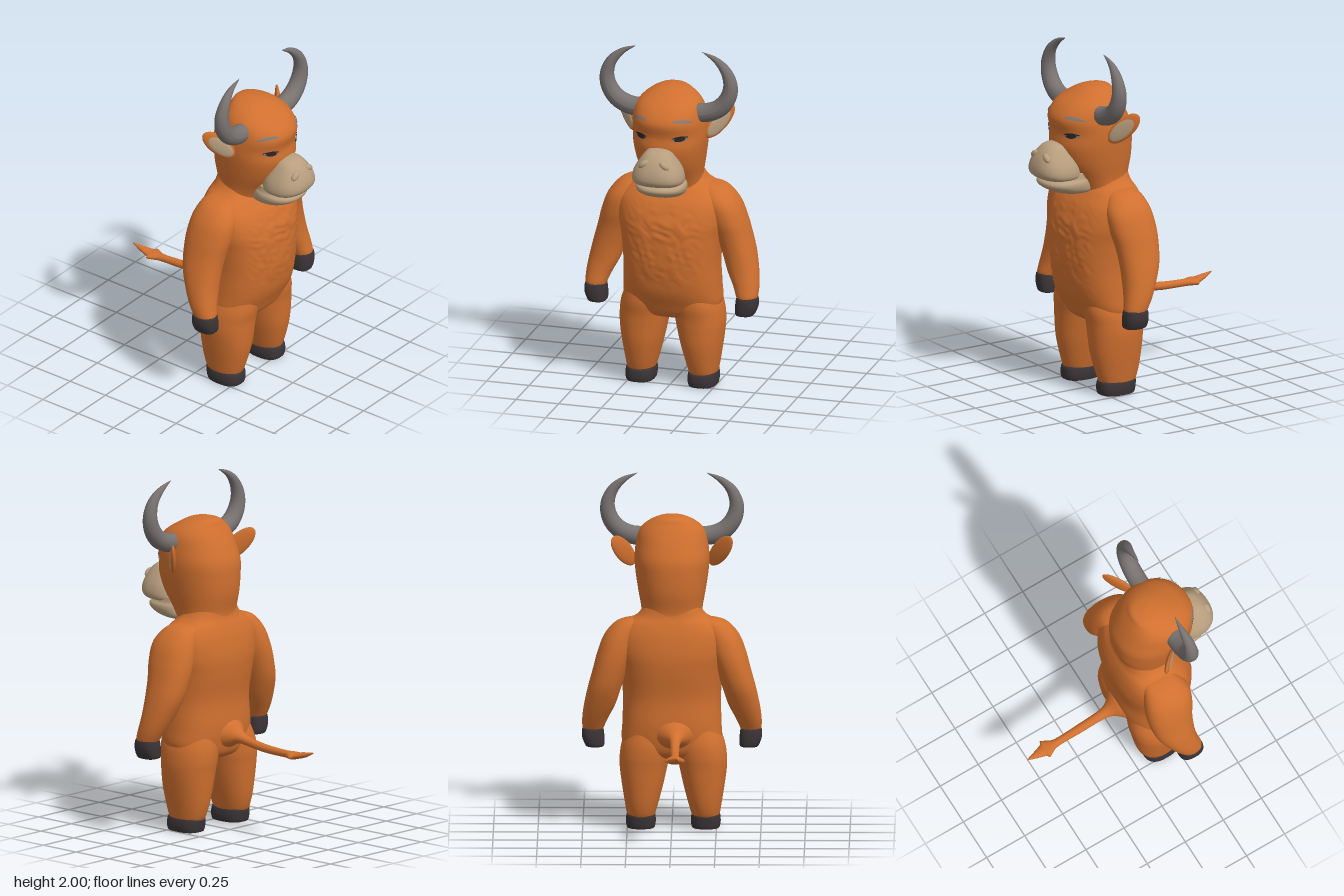
import * as THREE from 'three';

const mat = (name, color, side = THREE.FrontSide) => {
  const m = new THREE.MeshStandardMaterial({ color, side });
  m.name = name;
  return m;
};

// Smoothly resample key rows [y, centreX, halfWidth, zBack, zFront]
function resample(keys, steps) {
  const rows = [];
  const key = i => keys[Math.max(0, Math.min(keys.length - 1, i))];
  for (let i = 0; i < keys.length - 1; i++) {
    const [a, b, c, d] = [key(i - 1), key(i), key(i + 1), key(i + 2)];
    for (let s = 0; s < steps; s++) {
      const t = s / steps;
      rows.push(b.map((v, k) => v + 0.5 * t * (c[k] - a[k] +
        t * (2 * a[k] - 5 * v + 4 * c[k] - d[k] + t * (3 * (v - c[k]) + d[k] - a[k])))));
    }
  }
  rows.push(key(keys.length));
  return rows;
}

// Skin over rounded cross-sections, listed from top to bottom, closed at both ends
function loft(keys, { n = 2.2, segs = 40, steps = 5, side = 1, bump } = {}) {
  const rows = resample(keys, steps), pos = [], idx = [];
  const pw = v => Math.sign(v) * Math.abs(v) ** (2 / n);
  for (const [y, cx, a, zb, zf] of rows) {
    for (let j = 0; j < segs; j++) {
      const th = j / segs * Math.PI * 2;
      const x = side * cx + a * pw(Math.cos(th));
      const z = (zb + zf) / 2 + (zf - zb) / 2 * pw(Math.sin(th));
      pos.push(x, y, z + (bump ? bump(x, y, Math.sin(th)) : 0));
    }
  }
  for (let i = 0; i < rows.length - 1; i++) {
    for (let j = 0; j < segs; j++) {
      const p = i * segs + j, q = i * segs + (j + 1) % segs;
      idx.push(p, q, p + segs, q, q + segs, p + segs);
    }
  }
  const last = (rows.length - 1) * segs, top = pos.length / 3;
  for (const r of [rows[0], rows[rows.length - 1]]) pos.push(side * r[1], r[0], (r[3] + r[4]) / 2);
  for (let j = 0; j < segs; j++) {
    const k = (j + 1) % segs;
    idx.push(top, k, j, top + 1, last + j, last + k);
  }
  const g = new THREE.BufferGeometry();
  g.setAttribute('position', new THREE.Float32BufferAttribute(pos, 3));
  g.setIndex(idx);
  g.computeVertexNormals();
  return g;
}

const HEAD = [
  [1.777, 0, 0.004, 0.19, 0.21], [1.765, 0, 0.075, 0.12, 0.28], [1.73, 0, 0.14, 0.095, 0.35],
  [1.68, 0, 0.185, 0.065, 0.425], [1.61, 0, 0.203, 0.03, 0.472], [1.53, 0, 0.21, 0, 0.46],
  [1.45, 0, 0.205, -0.005, 0.465], [1.35, 0, 0.19, 0, 0.43], [1.25, 0, 0.172, 0.02, 0.36],
  [1.18, 0, 0.17, 0.02, 0.32], [1.1, 0, 0.17, 0.03, 0.3]];
const HEAD_N = 2.2;
const headRows = resample(HEAD, 8);

// Depth of the face at a given x, y
function faceZ(x, y) {
  const i = Math.max(1, headRows.findIndex(r => r[0] <= y));
  const [p, q] = [headRows[i - 1], headRows[i]];
  const r = p.map((v, k) => v + (q[k] - v) * (p[0] - y) / (p[0] - q[0]));
  const f = Math.max(0, 1 - Math.abs(x / r[2]) ** HEAD_N) ** (1 / HEAD_N);
  return (r[3] + r[4]) / 2 + (r[4] - r[3]) / 2 * f;
}

// Thin almond-shaped plate lying on the face, from (x0, y0) to (x1, y1)
function facePatch(x0, y0, x1, y1, half, arch, lift) {
  const g = new THREE.PlaneGeometry(1, 1, 14, 4), p = g.attributes.position;
  for (let i = 0; i < p.count; i++) {
    const u = p.getX(i) + 0.5, w = Math.sin(Math.PI * u);
    const x = x0 + (x1 - x0) * u;
    const y = y0 + (y1 - y0) * u + arch * w + p.getY(i) * 2 * half * Math.sqrt(Math.max(w, 0));
    p.setXYZ(i, x, y, faceZ(x, y) + lift);
  }
  g.computeVertexNormals();
  return g;
}

// Tapered tube that sweeps outward and up to a point
function hornGeometry(side) {
  const pts = [[0.16, 1.64], [0.23, 1.648], [0.3, 1.682], [0.348, 1.745], [0.362, 1.82], [0.335, 1.9],
    [0.275, 1.96], [0.195, 2]].map(([x, y], i) => new THREE.Vector3(side * x, y, i < 6 ? 0.275 : 0.27));
  const curve = new THREE.CatmullRomCurve3(pts), N = 40, R = 20;
  const g = new THREE.TubeGeometry(curve, N, 1, R), p = g.attributes.position, v = new THREE.Vector3();
  for (let i = 0; i <= N; i++) {
    const t = i / N, c = curve.getPointAt(t);
    const r = 0.053 * (1 - t ** 2.2) + 0.001;
    for (let j = 0; j <= R; j++) {
      const k = i * (R + 1) + j;
      v.fromBufferAttribute(p, k).sub(c).multiplyScalar(r).add(c);
      p.setXYZ(k, v.x, v.y, v.z);
    }
  }
  g.computeVertexNormals();
  return g;
}

export function createModel() {
  const model = new THREE.Group();
  const fur = mat('orange fur', 0xd0702f);
  const cream = mat('cream skin', 0xb89e7e);
  const horn = mat('grey horn', 0x77716f);
  const hoof = mat('dark hoof', 0x3b3436);
  const brow = mat('grey brow', 0x7d7c7d, THREE.DoubleSide);
  const dark = mat('dark eye', 0x2c2523, THREE.DoubleSide);
  const add = (name, geometry, material, parent = model) => {
    const m = new THREE.Mesh(geometry, material);
    m.name = name;
    parent.add(m);
    return m;
  };

  // Torso with shaggy tufts on the chest
  const tufts = (x, y, front) => {
    if (front < 0.2) return 0;
    const area = Math.exp(-(((y - 0.87) / 0.22) ** 4) - (x / 0.2) ** 4);
    return 0.007 * area * Math.sin(47 * x + 5 * Math.sin(23 * y)) * Math.sin(52 * y + 4 * Math.sin(31 * x));
  };
  add('torso', loft([
    [1.28, 0, 0.15, 0.03, 0.28], [1.22, 0, 0.19, 0.02, 0.285], [1.17, 0, 0.265, 0, 0.32],
    [1.1, 0, 0.31, -0.02, 0.37], [1, 0, 0.31, -0.033, 0.408], [0.9, 0, 0.29, -0.027, 0.42],
    [0.75, 0, 0.275, -0.008, 0.418], [0.6, 0, 0.278, -0.012, 0.395], [0.5, 0, 0.28, 0, 0.355],
    [0.44, 0, 0.24, 0.02, 0.325], [0.41, 0, 0.15, 0.06, 0.28], [0.4, 0, 0.03, 0.13, 0.2]],
  { n: 2.4, segs: 96, steps: 8, bump: tufts }), fur);

  // Head, upper muzzle and lower jaw
  const head = new THREE.Group();
  head.name = 'head';
  model.add(head);
  add('skull', loft(HEAD, { n: HEAD_N, segs: 56, steps: 6 }), fur, head);
  add('muzzle', loft([
    [1.475, 0, 0.02, 0.44, 0.48], [1.462, 0, 0.065, 0.41, 0.53], [1.42, 0, 0.1, 0.38, 0.572],
    [1.36, 0, 0.135, 0.35, 0.6], [1.31, 0, 0.147, 0.34, 0.604], [1.28, 0, 0.138, 0.34, 0.58],
    [1.268, 0, 0.11, 0.36, 0.54]], { n: 2.4 }), cream, head);
  add('jaw', loft([
    [1.3, 0, 0.12, 0.3, 0.46], [1.268, 0, 0.128, 0.28, 0.525], [1.25, 0, 0.14, 0.27, 0.555],
    [1.225, 0, 0.14, 0.26, 0.55], [1.195, 0, 0.125, 0.25, 0.5], [1.175, 0, 0.09, 0.25, 0.43],
    [1.17, 0, 0.03, 0.3, 0.36]], { n: 2.3 }), cream, head);

  for (const s of [1, -1]) {
    const side = s > 0 ? 'left' : 'right';

    // Raised nostril wing
    const wing = add(side + 'Nostril', new THREE.SphereGeometry(1, 20, 14), cream, head);
    wing.scale.set(0.034, 0.02, 0.02);
    wing.position.set(s * 0.06, 1.405, 0.562);
    wing.rotation.z = -s * 0.6;

    // Eye and eyebrow
    add(side + 'EyeWhite', facePatch(s * 0.075, 1.523, s * 0.155, 1.53, 0.015, 0, 0.004), brow, head);
    add(side + 'Eye', facePatch(s * 0.085, 1.524, s * 0.142, 1.529, 0.013, 0, 0.007), dark, head);
    add(side + 'Eyelid', facePatch(s * 0.07, 1.53, s * 0.158, 1.536, 0.005, 0.008, 0.008), dark, head);
    add(side + 'Eyebrow', facePatch(s * 0.075, 1.63, s * 0.178, 1.618, 0.008, 0.008, 0.006), brow, head);

    add(side + 'Horn', hornGeometry(s), horn, head);

    // Leaf-shaped ear with a pale inside
    const ear = new THREE.Group();
    ear.name = side + 'Ear';
    const along = new THREE.Vector3(s * 0.13, 0.17, -0.12).normalize();
    const out = new THREE.Vector3(s * 0.68, 0, 0.73).normalize();
    const across = new THREE.Vector3().crossVectors(out, along);
    ear.applyMatrix4(new THREE.Matrix4().makeBasis(along, across, out).setPosition(s * 0.272, 1.572, 0.185));
    head.add(ear);
    add('earShell', new THREE.SphereGeometry(1, 28, 18), fur, ear).scale.set(0.12, 0.056, 0.017);
    const inner = add('earInside', new THREE.SphereGeometry(1, 28, 18), cream, ear);
    inner.scale.set(0.095, 0.043, 0.01);
    inner.position.set(-0.01, 0, 0.009);

    // Arm and hand hoof
    add(side + 'Arm', loft([
      [1.2, 0.19, 0.04, 0.1, 0.2], [1.175, 0.23, 0.08, 0.06, 0.25], [1.1, 0.28, 0.098, 0.03, 0.295],
      [1, 0.315, 0.103, 0.015, 0.295], [0.9, 0.347, 0.098, 0.018, 0.275], [0.8, 0.378, 0.094, 0.035, 0.265],
      [0.7, 0.405, 0.088, 0.075, 0.265], [0.62, 0.43, 0.073, 0.115, 0.275], [0.56, 0.442, 0.06, 0.15, 0.285],
      [0.53, 0.442, 0.05, 0.17, 0.27]], { side: s }), fur);
    add(side + 'HandHoof', loft([
      [0.563, 0.444, 0.045, 0.17, 0.27], [0.556, 0.444, 0.058, 0.152, 0.286], [0.51, 0.442, 0.063, 0.146, 0.292],
      [0.465, 0.434, 0.055, 0.15, 0.288], [0.452, 0.432, 0.045, 0.165, 0.275], [0.45, 0.432, 0.02, 0.2, 0.24]],
    { side: s, n: 2.6 }), hoof);

    // Leg and foot hoof
    const leg = new THREE.Group();
    leg.name = side + 'Leg';
    leg.position.x = -0.008;
    model.add(leg);
    add('thighAndShin', loft([
      [0.6, 0.14, 0.1, 0.03, 0.34], [0.5, 0.15, 0.135, 0.003, 0.347], [0.42, 0.16, 0.14, 0, 0.335],
      [0.35, 0.167, 0.134, 0.008, 0.33], [0.25, 0.172, 0.117, 0.018, 0.322], [0.15, 0.177, 0.096, 0.033, 0.3],
      [0.08, 0.181, 0.08, 0.055, 0.278], [0.05, 0.182, 0.07, 0.08, 0.26]], { side: s }), fur, leg);
    add('footHoof', loft([
      [0.085, 0.182, 0.065, 0.08, 0.255], [0.077, 0.182, 0.079, 0.06, 0.28], [0.04, 0.182, 0.084, 0.062, 0.286],
      [0.01, 0.182, 0.08, 0.068, 0.282], [0.001, 0.182, 0.072, 0.08, 0.27], [0, 0.182, 0.03, 0.14, 0.21]],
    { side: s, n: 2.6 }), hoof, leg);
  }

  // Tail with a barbed tuft, lofted upright and laid back along -z
  const tail = loft([
    [0.04, -0.01, 0.15, -0.67, -0.45], [-0.015, -0.015, 0.085, -0.625, -0.485], [-0.06, -0.02, 0.042, -0.578, -0.502],
    [-0.12, -0.02, 0.028, -0.55, -0.497], [-0.25, -0.02, 0.025, -0.527, -0.48], [-0.4, -0.022, 0.023, -0.517, -0.475],
    [-0.45, -0.022, 0.042, -0.517, -0.475], [-0.478, -0.022, 0.055, -0.515, -0.475], [-0.49, -0.024, 0.038, -0.516, -0.478],
    [-0.55, -0.03, 0.018, -0.525, -0.495], [-0.604, -0.035, 0.002, -0.53, -0.524]], { n: 2, segs: 24 });
  tail.rotateX(Math.PI / 2);
  add('tail', tail, fur);

  return model;
}
